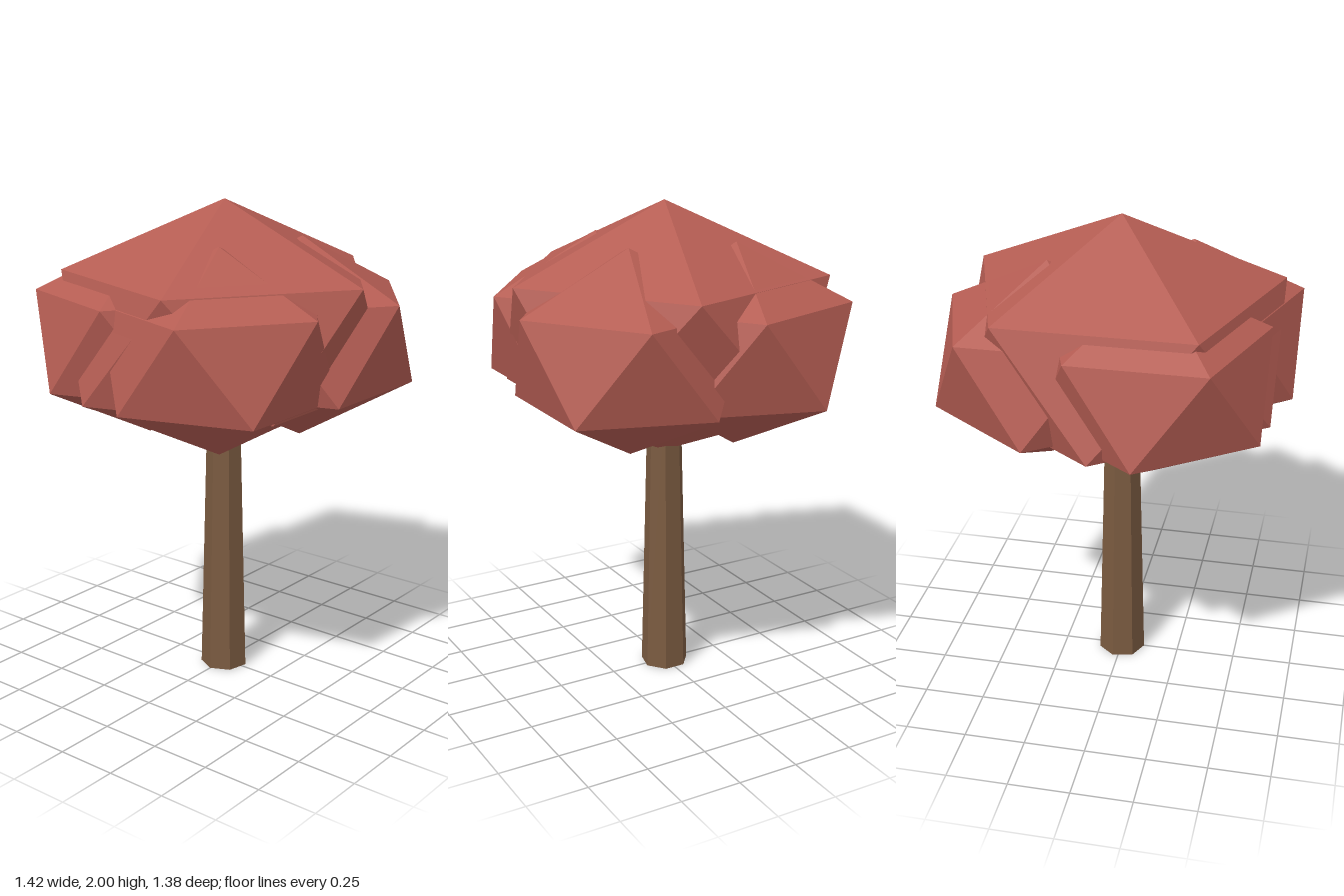
import * as THREE from 'three';
import { ConvexGeometry } from 'three/addons/geometries/ConvexGeometry.js';

const leafMaterial = new THREE.MeshStandardMaterial({ color: 0xb55d53, flatShading: true });
const barkMaterial = new THREE.MeshStandardMaterial({ color: 0x7a5a40, flatShading: true });

// Squashed icosahedron standing on a corner: two poles and two staggered rings of five
function leafClump(name, ringRadius, halfHeight, x, y, z) {
  const points = [new THREE.Vector3(0, halfHeight, 0), new THREE.Vector3(0, -halfHeight, 0)];
  const ringY = halfHeight / Math.sqrt(5);
  for (let i = 0; i < 10; i++) {
    const a = (i * Math.PI) / 5;
    points.push(new THREE.Vector3(
      ringRadius * Math.cos(a), i % 2 ? -ringY : ringY, ringRadius * Math.sin(a)));
  }
  const mesh = new THREE.Mesh(new ConvexGeometry(points), leafMaterial);
  mesh.name = name;
  mesh.position.set(x, y, z);
  return mesh;
}

export function createModel() {
  const tree = new THREE.Group();
  tree.name = 'tree';

  // Seven-sided tapering trunk, its top hidden in the leaves
  const trunk = new THREE.Mesh(new THREE.CylinderGeometry(0.07, 0.1, 1.2, 7), barkMaterial);
  trunk.name = 'trunk';
  trunk.position.y = 0.6;
  tree.add(trunk);

  // Large central clump with four smaller ones spaced a quarter turn apart
  const canopy = new THREE.Group();
  canopy.name = 'canopy';
  canopy.add(leafClump('centralClump', 0.657, 0.518, 0, 1.482, 0));
  let [x, z] = [0.255, -0.175];
  for (let i = 0; i < 4; i++) {
    canopy.add(leafClump(`outerClump${i + 1}`, 0.455, 0.409, x, 1.448, z));
    [x, z] = [z, -x];
  }
  tree.add(canopy);
  return tree;
}
